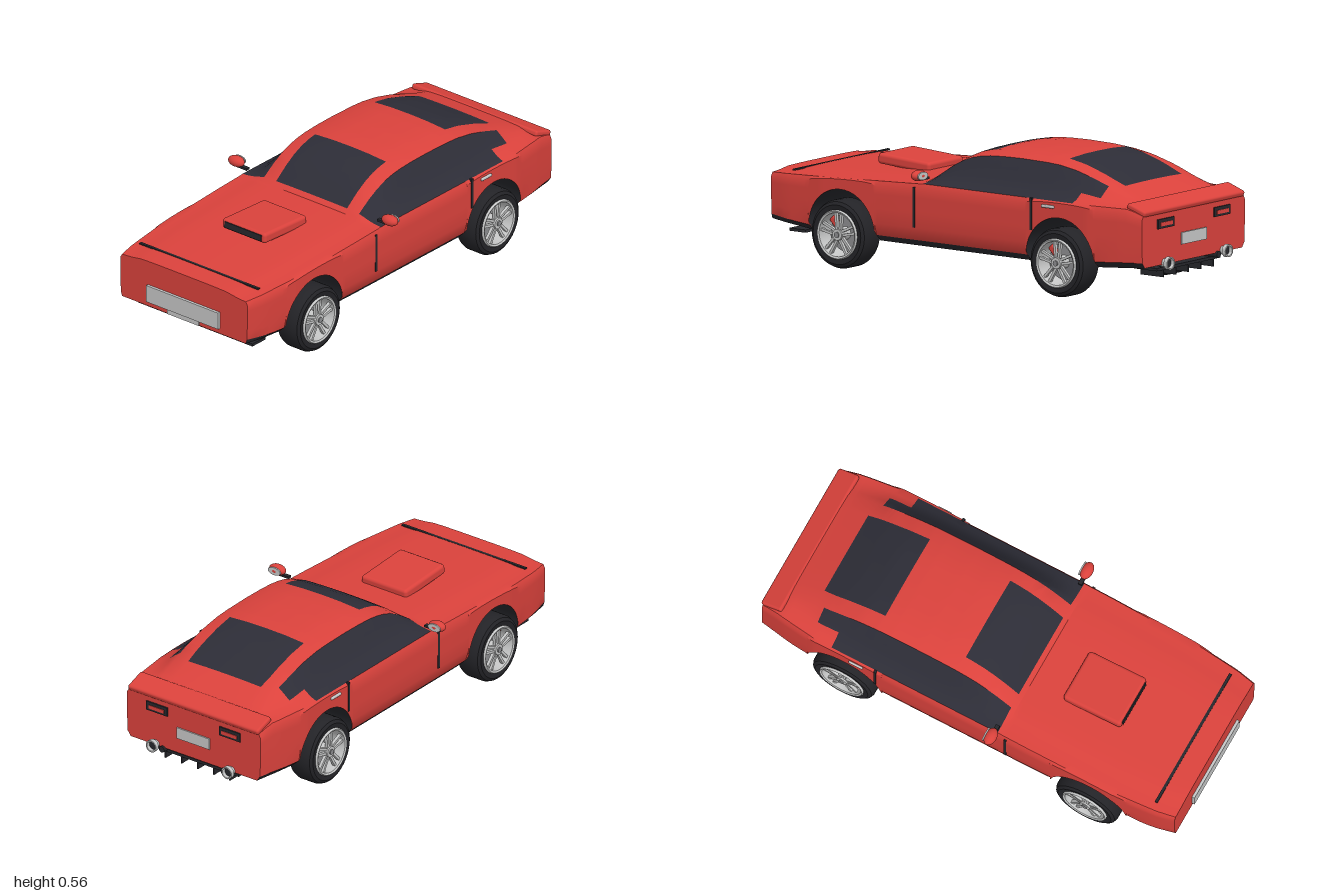
import * as THREE from 'three';
import { toCreasedNormals } from 'three/addons/utils/BufferGeometryUtils.js';
import { RoundedBoxGeometry } from 'three/addons/geometries/RoundedBoxGeometry.js';

const mat = (name, color) => Object.assign(new THREE.MeshStandardMaterial({ color }), { name });
const paint = mat('red paint', 0xdb423c);
const glass = mat('dark glass', 0x2d2d37);
const trim = mat('black trim', 0x26272c);
const rubber = mat('tyre rubber', 0x232327);
const silver = mat('silver', 0xc6c7c7);
const steel = mat('brake steel', 0x8d8e90);

function add(parent, name, geometry, material, x = 0, y = 0, z = 0) {
  const m = new THREE.Mesh(geometry, material);
  m.name = name;
  m.position.set(x, y, z);
  parent.add(m);
  return m;
}
const box = (w, h, d) => new THREE.BoxGeometry(w, h, d);

// Linear lookup in a list of [z, value], sorted from front to back
function lookup(list, z) {
  if (z >= list[0][0]) return list[0][1];
  for (let i = 1; i < list.length; i++) {
    const [z0, v0] = list[i - 1], [z1, v1] = list[i];
    if (z >= z1) return v0 + (v1 - v0) * (z0 - z) / (z0 - z1);
  }
  return list[list.length - 1][1];
}
const WIDTH = [[0.985, 0.345], [0.9, 0.362], [0.7, 0.38], [0.3, 0.385], [-0.7, 0.385], [-0.85, 0.366], [-0.965, 0.348]];
const TOP = [[0.985, 0.374], [0.6, 0.393], [0.3, 0.407], [0.185, 0.412], [0.165, 0.428], [0.1, 0.48], [0.05, 0.512],
  [0, 0.535], [-0.05, 0.549], [-0.1, 0.557], [-0.17, 0.562], [-0.27, 0.564], [-0.4, 0.561], [-0.465, 0.556],
  [-0.55, 0.54], [-0.65, 0.508], [-0.75, 0.468], [-0.85, 0.431], [-0.965, 0.39]];
const BOTTOM = [[0.985, 0.165], [0.77, 0.14], [0.42, 0.132], [-0.38, 0.132], [-0.74, 0.14], [-0.965, 0.156]];
const WHEEL_Z = [0.592, -0.557], ARCH_R = 0.176, ARCH_Y = 0.157;

// Lofted body shell: sections along z, wheel arches cut through, glass as face groups
function bodyGeometry() {
  const zs = [0.165, -0.085, -0.465, -0.62, -0.72, -0.755];
  for (let i = 0; i <= 50; i++) zs.push(0.985 - i * 0.039);
  const inArch = z => WHEEL_Z.some(c => Math.abs(z - c) < ARCH_R + 0.001);
  let sections = zs.concat(TOP.map(p => p[0])).filter(z => !inArch(z)).map(z => [z, lookup(BOTTOM, z)]);
  for (const c of WHEEL_Z) {
    for (let k = 0; k <= 28; k++) {
      const a = Math.PI * k / 28;
      sections.push([c + ARCH_R * Math.cos(a), ARCH_Y + ARCH_R * Math.sin(a)]);
    }
    for (const s of [1, -1]) sections.push([c + s * (ARCH_R + 0.0015), lookup(BOTTOM, c + s * ARCH_R)]);
  }
  for (const z of [-0.465, -0.62, -0.72]) {
    const c = WHEEL_Z[1];
    sections.push([z, ARCH_Y + Math.sqrt(ARCH_R ** 2 - (z - c) ** 2)]);
  }
  sections.sort((a, b) => b[0] - a[0]);
  sections = sections.filter((s, i) => i === 0 || sections[i - 1][0] - s[0] > 0.0004);

  const side = [0, 0.1, 0.3, 0.55, 0.78, 0.92];
  const upper = [[0.975, 0], [0.9, 0.1], [0.815, 0.3], [0.75, 0.55], [0.67, 0.83], [0.5, 0.95], [0.25, 0.99], [0, 1]];
  const rings = sections.map(([z, yb]) => {
    const w = lookup(WIDTH, z), h = lookup(TOP, z), ys = Math.min(0.4, h - 0.014);
    const half = side.map(s => {
      const y = yb + (ys - yb) * s;
      const tuck = 0.035 * Math.min(1, Math.max(0, (0.17 - y) / 0.035)) + 0.3 * Math.max(0, 0.28 - y) ** 2;
      return new THREE.Vector3(w - tuck, y, z);
    });
    for (const [q, f] of upper) half.push(new THREE.Vector3(w * q, ys + (h - ys) * f, z));
    const mirrored = half.slice(0, -1).reverse().map(p => new THREE.Vector3(-p.x, p.y, p.z));
    return half.concat(mirrored);
  });

  const n = rings[0].length, S = side.length, bins = [[], [], []];
  const put = (bin, ...pts) => pts.forEach(p => bins[bin].push(p.x, p.y, p.z));
  for (let i = 0; i + 1 < rings.length; i++) {
    const zm = (sections[i][0] + sections[i + 1][0]) / 2;
    for (let j = 0; j < n; j++) {
      const r = Math.min(j, n - 2 - j);
      const sideGlass = r >= S && r < S + 4 && zm < 0.165 && zm > -0.72 && !(zm < -0.62 && r < S + 2);
      const screen = r >= S + 5 && ((zm < 0.165 && zm > -0.085) || (zm < -0.465 && zm > -0.755));
      const under = j === n - 1 || (r === 0 && !inArch(zm));
      const bin = under ? 2 : sideGlass || screen ? 1 : 0;
      const k = (j + 1) % n, a = rings[i][j], b = rings[i][k], c = rings[i + 1][k], d = rings[i + 1][j];
      put(bin, a, d, c, a, c, b);
    }
  }
  // End caps
  const first = rings[0], last = rings[rings.length - 1];
  const mid = ring => new THREE.Vector3(0, 0.27, ring[0].z);
  for (let j = 0; j < n; j++) {
    const k = (j + 1) % n;
    put(0, mid(first), first[j], first[k]);
    put(0, mid(last), last[k], last[j]);
  }
  const g = new THREE.BufferGeometry();
  g.setAttribute('position', new THREE.Float32BufferAttribute(bins.flat(), 3));
  let start = 0;
  bins.forEach((b, i) => { g.addGroup(start, b.length / 3, i); start += b.length / 3; });
  return toCreasedNormals(g, 0.55);
}

// Lathe turned so that its axis lies along x
function latheX(points, segments = 40) {
  const g = new THREE.LatheGeometry(points.map(p => new THREE.Vector2(p[0], p[1])), segments);
  return toCreasedNormals(g.rotateZ(-Math.PI / 2), 0.6);
}

// Wheel with its outer face towards +x
function makeWheel() {
  const wheel = new THREE.Group();
  add(wheel, 'tyre', latheX([[0.1, -0.055], [0.125, -0.06], [0.138, -0.052], [0.145, -0.035], [0.145, 0.035],
    [0.138, 0.052], [0.125, 0.06], [0.102, 0.056], [0.1, 0.04], [0.1, -0.055]]), rubber);
  add(wheel, 'rim', latheX([[0.096, -0.055], [0.104, -0.057], [0.104, 0.06], [0.1, 0.066], [0.092, 0.062],
    [0.09, 0.03], [0.096, -0.055]]), silver);
  add(wheel, 'brakeDisc', new THREE.CylinderGeometry(0.078, 0.078, 0.014, 32).rotateZ(Math.PI / 2), steel, -0.005);
  add(wheel, 'innerHub', new THREE.CylinderGeometry(0.04, 0.04, 0.05, 24).rotateZ(Math.PI / 2), trim, -0.03);
  add(wheel, 'hub', new THREE.CylinderGeometry(0.024, 0.028, 0.06, 24).rotateZ(-Math.PI / 2), silver, 0.03);
  add(wheel, 'hubCap', new THREE.CylinderGeometry(0.012, 0.012, 0.006, 16).rotateZ(-Math.PI / 2), steel, 0.062);
  add(wheel, 'brakeCaliper', new RoundedBoxGeometry(0.036, 0.045, 0.03, 2, 0.008), paint, 0, 0.045, 0.05).rotation.x = 0.8;
  for (let i = 0; i < 5; i++) {
    const spoke = new THREE.Group();
    spoke.name = 'spoke';
    for (const s of [-1, 1]) {
      add(spoke, 'spokeBar', box(0.014, 0.08, 0.011), silver, 0.046, 0.056, s * 0.012).rotation.x = s * 0.1;
    }
    spoke.rotation.x = i * Math.PI * 2 / 5;
    wheel.add(spoke);
  }
  return wheel;
}

export function createModel() {
  const car = new THREE.Group();
  car.name = 'sportsCoupe';
  add(car, 'body', bodyGeometry(), [paint, glass, trim]);

  // Wheels
  for (const z of WHEEL_Z) for (const s of [1, -1]) {
    const w = makeWheel();
    w.name = (z > 0 ? 'front' : 'rear') + (s > 0 ? 'Left' : 'Right') + 'Wheel';
    w.position.set(s * 0.346, 0.145, z);
    if (s < 0) {
      w.rotation.y = Math.PI;
      w.getObjectByName('brakeCaliper').position.z *= -1;
      w.getObjectByName('brakeCaliper').rotation.x *= -1;
    }
    car.add(w);
  }

  // Bonnet scoop and seam
  const scoop = new THREE.Group();
  scoop.name = 'bonnetScoop';
  add(scoop, 'scoopShell', new RoundedBoxGeometry(0.236, 0.046, 0.272, 3, 0.014), paint);
  add(scoop, 'scoopOpening', box(0.2, 0.027, 0.008), trim, 0, 0, 0.136);
  scoop.position.set(0, 0.42, 0.468);
  scoop.rotation.x = -0.06;
  car.add(scoop);
  add(car, 'bonnetSeam', box(0.645, 0.006, 0.012), trim, 0, 0.377, 0.885);

  // Front plates and splitter
  add(car, 'frontPlate', box(0.39, 0.076, 0.014), silver, 0, 0.227, 0.99);
  add(car, 'lowerFrontPlate', box(0.172, 0.022, 0.008), silver, 0, 0.178, 0.988);
  add(car, 'splitter', box(0.625, 0.012, 0.085), trim, 0, 0.122, 0.872);
  for (const x of [-0.2, 0.2]) add(car, 'splitterMount', box(0.03, 0.04, 0.03), trim, x, 0.142, 0.87);

  // Tail: lip, plate, diffuser and fins
  add(car, 'tailLip', new RoundedBoxGeometry(0.68, 0.026, 0.1, 2, 0.01), paint, 0, 0.397, -0.925).rotation.x = -0.33;
  add(car, 'rearPlate', box(0.17, 0.05, 0.008), silver, 0, 0.25, -0.967);
  add(car, 'diffuser', box(0.43, 0.012, 0.12), trim, 0, 0.132, -0.88);
  for (let i = -2; i <= 2; i++) add(car, 'diffuserFin', box(0.006, 0.04, 0.12), trim, i * 0.084, 0.115, -0.88);

  for (const s of [1, -1]) {
    // Tail lights
    add(car, 'tailLightFrame', box(0.11, 0.04, 0.008), trim, s * 0.19, 0.33, -0.967);
    add(car, 'tailLightLens', box(0.08, 0.016, 0.004), paint, s * 0.19, 0.328, -0.972);
    // Exhausts
    add(car, 'exhaustTip', latheX([[0.016, -0.04], [0.018, 0.02], [0.027, 0.022], [0.027, 0.04], [0.021, 0.04], [0.018, 0.0]], 24),
      silver, s * 0.197, 0.163, -0.96).rotation.y = Math.PI / 2;
    add(car, 'exhaustBore', new THREE.CircleGeometry(0.021, 20).rotateY(Math.PI), trim, s * 0.197, 0.163, -0.985);
    add(car, 'exhaustPipe', new THREE.CylinderGeometry(0.014, 0.014, 0.07, 16).rotateX(Math.PI / 2), trim, s * 0.16, 0.15, -0.94);
    // Door seams and handles
    add(car, 'frontDoorSeam', box(0.012, 0.17, 0.011), trim, s * 0.381, 0.298, 0.205);
    add(car, 'rearDoorSeam', box(0.012, 0.135, 0.011), trim, s * 0.382, 0.335, -0.41);
    add(car, 'doorHandle', new RoundedBoxGeometry(0.014, 0.013, 0.066, 2, 0.005), silver, s * 0.386, 0.376, -0.5);
    // Mirrors
    add(car, 'mirrorStalk', box(0.055, 0.01, 0.018), trim, s * 0.382, 0.425, 0.155);
    add(car, 'mirrorShell', new THREE.SphereGeometry(1, 24, 16).scale(0.04, 0.023, 0.026), paint, s * 0.417, 0.442, 0.155);
    add(car, 'mirrorGlass', new THREE.CylinderGeometry(1, 1, 1, 24).rotateX(Math.PI / 2).scale(0.032, 0.017, 0.006),
      silver, s * 0.417, 0.442, 0.133);
  }
  return car;
}
